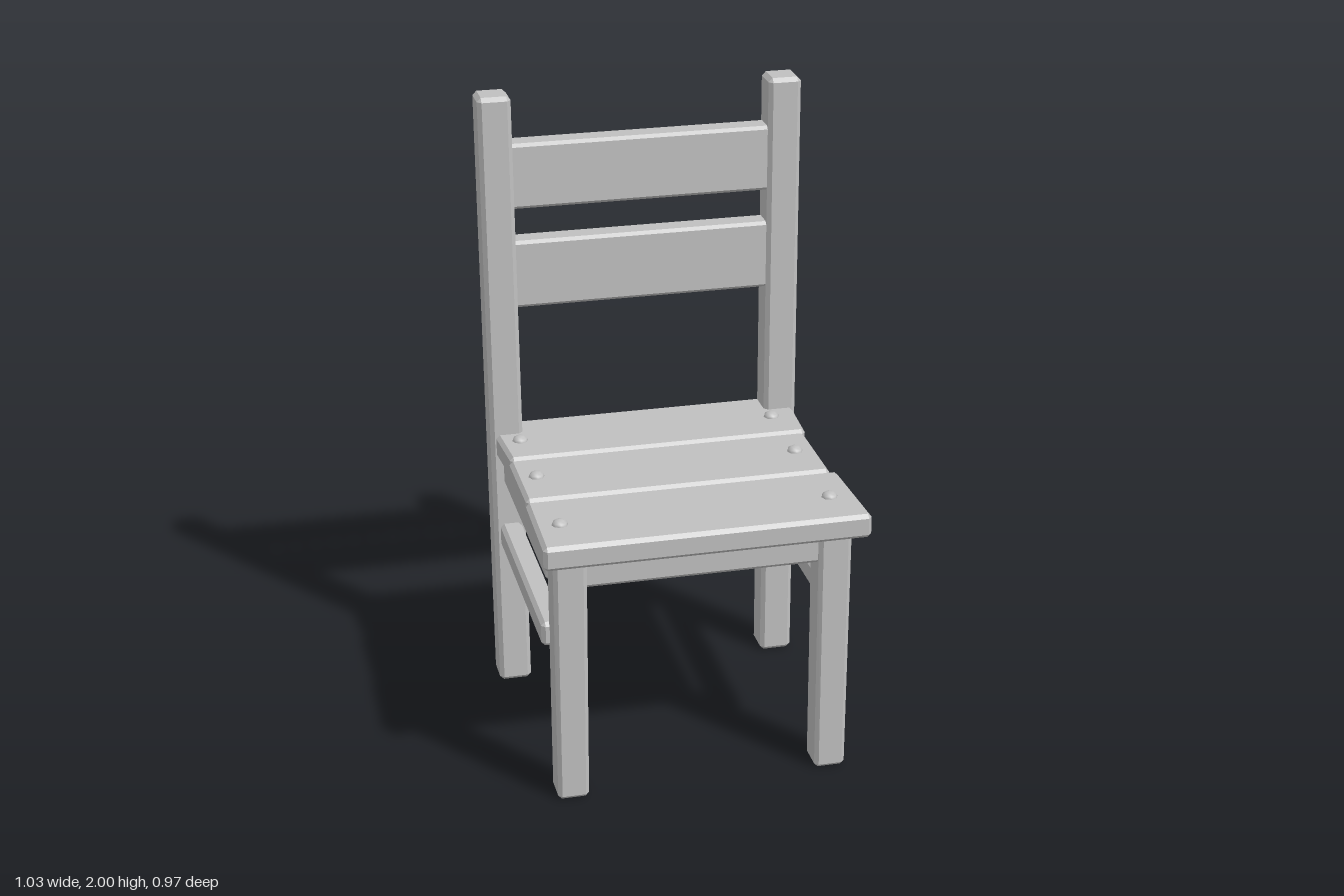
import * as THREE from 'three';
import { ConvexGeometry } from 'three/addons/geometries/ConvexGeometry.js';

const wood = new THREE.MeshStandardMaterial({ color: 0xc0c0c0 });
wood.name = 'plain wood';

// Chamfered block between two corners; warp may taper or lean its points
function block(name, [x0, y0, z0], [x1, y1, z1], bevel = 0.012, warp = () => {}) {
  const points = [];
  for (const sx of [-1, 1]) for (const sy of [-1, 1]) for (const sz of [-1, 1]) {
    for (const axis of ['x', 'y', 'z']) {
      const p = new THREE.Vector3(sx < 0 ? x0 : x1, sy < 0 ? y0 : y1, sz < 0 ? z0 : z1);
      const s = { x: sx, y: sy, z: sz };
      // Each corner becomes three points, one on each adjoining face
      for (const other of ['x', 'y', 'z']) if (other !== axis) p[other] -= s[other] * bevel;
      warp(p);
      points.push(p);
    }
  }
  const mesh = new THREE.Mesh(new ConvexGeometry(points), wood);
  mesh.name = name;
  return mesh;
}

export function createModel() {
  const chair = new THREE.Group();
  chair.name = 'chair';
  const lean = (p) => { p.z -= 0.0225 * p.y; };

  for (const [side, s] of [['left', 1], ['right', -1]]) {
    const span = (a, b) => (s > 0 ? [a, b] : [-b, -a]);

    // Back post, leaning backwards and slightly outwards
    const [p0, p1] = span(0.397, 0.502);
    chair.add(block(side + 'BackPost', [p0, 0, -0.44], [p1, 2, -0.334], 0.013, (p) => {
      lean(p);
      p.x += s * 0.006 * p.y;
    }));

    // Front leg, a little wider at the top
    const [l0, l1] = span(0.36, 0.46);
    chair.add(block(side + 'FrontLeg', [l0, 0, 0.34], [l1, 0.815, 0.445], 0.012, (p) => {
      p.x = s * 0.41 + (p.x - s * 0.41) * (0.97 + 0.08 * p.y);
    }));

    // Seat rail and lower stretcher
    const [r0, r1] = span(0.385, 0.468);
    chair.add(block(side + 'SeatRail', [r0, 0.715, -0.37], [r1, 0.815, 0.36]));
    const [t0, t1] = span(0.415, 0.485);
    chair.add(block(side + 'Stretcher', [t0, 0.495, -0.36], [t1, 0.575, 0.36], 0.012));
  }

  chair.add(block('frontRail', [-0.38, 0.715, 0.355], [0.38, 0.815, 0.43]));

  // Back slats follow the lean of the posts
  for (const [name, y0, y1] of [['lowerSlat', 1.31, 1.53], ['upperSlat', 1.635, 1.845]]) {
    chair.add(block(name, [-0.42, y0, -0.427], [0.42, y1, -0.347], 0.01, lean));
  }

  // Seat planks: z range, then left and right ends at the back and front edges
  const planks = [
    ['backPlank', -0.46, -0.165, [-0.497, 0.503], [-0.477, 0.488]],
    ['middlePlank', -0.157, 0.145, [-0.485, 0.478], [-0.485, 0.478]],
    ['frontPlank', 0.153, 0.485, [-0.49, 0.497], [-0.497, 0.511]],
  ];
  for (const [name, z0, z1, back, front] of planks) {
    chair.add(block(name, [-0.5, 0.81, z0], [0.5, 0.888, z1], 0.012, (p) => {
      const t = (p.z - z0) / (z1 - z0);
      const left = THREE.MathUtils.lerp(back[0], front[0], t);
      const right = THREE.MathUtils.lerp(back[1], front[1], t);
      p.x = THREE.MathUtils.lerp(left, right, p.x + 0.5);
    }));
  }

  // Domed pegs holding the planks
  const dome = new THREE.SphereGeometry(0.026, 8, 3, 0, Math.PI * 2, 0, Math.PI / 2);
  dome.scale(1, 0.75, 1);
  for (const [z, x0, x1] of [[-0.3, -0.422, 0.41], [-0.02, -0.422, 0.41], [0.33, -0.418, 0.42]]) {
    for (const x of [x0, x1]) {
      const peg = new THREE.Mesh(dome, wood);
      peg.name = 'peg';
      peg.position.set(x, 0.886, z);
      chair.add(peg);
    }
  }
  return chair;
}
